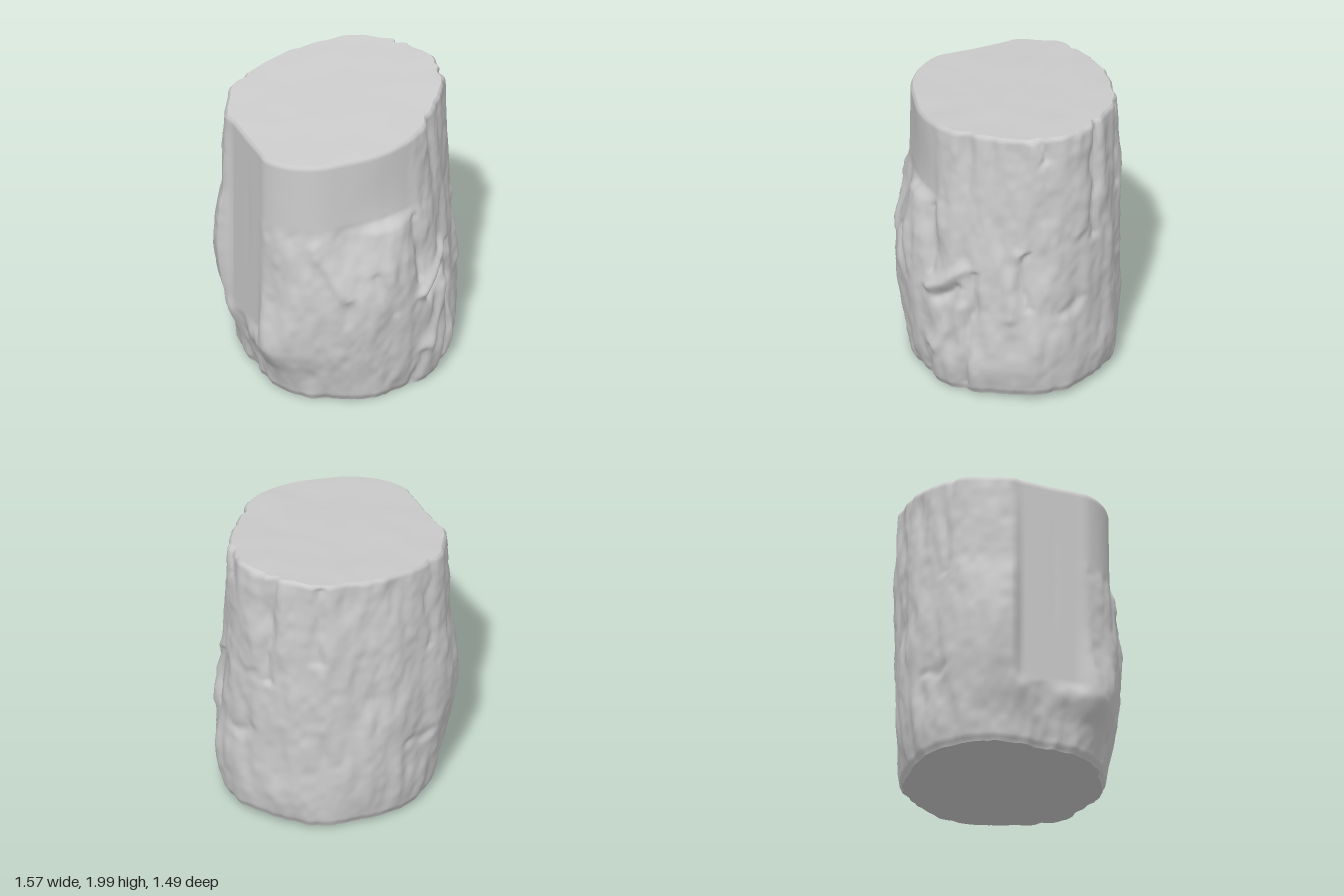
import * as THREE from 'three';

const SEG = 184, ROWS = 140;
const material = new THREE.MeshStandardMaterial({ color: 0xcccccc, roughness: 0.9 });

// Cross-sections: height, then 16 radii every 22.5 degrees from +x towards +z
const sections = [
  [0.0, [.73, .69, .67, .64, .63, .63, .65, .66, .63, .66, .70, .70, .68, .68, .71, .73]],
  [0.2, [.77, .73, .71, .68, .67, .67, .69, .71, .66, .70, .74, .73, .71, .71, .74, .76]],
  [0.42, [.78, .73, .69, .68, .70, .71, .76, .82, .71, .76, .78, .75, .72, .72, .74, .76]],
  [0.85, [.74, .70, .66, .69, .73, .73, .77, .78, .71, .84, .81, .76, .72, .72, .74, .75]],
  [1.33, [.74, .66, .63, .63, .67, .65, .73, .76, .71, .82, .79, .74, .70, .71, .73, .75]],
  [1.42, [.74, .66, .62, .61, .605, .63, .72, .76, .71, .82, .79, .74, .70, .71, .73, .75]],
  [1.95, [.71, .64, .59, .60, .61, .63, .71, .76, .71, .77, .77, .71, .68, .68, .72, .73]],
];

// Bark ridges (+) and cracks (-): start angle, y, end angle, y, width, depth
const strokes = [
  [84, 1.3, 79, 1.1, .09, .02], [69, 1.34, 67, .88, .035, -.03],
  [66, .74, 46, .93, .05, .035], [60, .66, 48, .80, .035, -.03],
  [64, .28, 48, .62, .05, .03], [42, .08, 38, .9, .03, -.03],
  [72, .02, 66, .25, .03, -.025], [98, 1.0, 88, .7, .04, -.02],
  [132, 1.3, 112, .9, .05, .025], [14, 1.08, 20, .6, .05, .025],
  [9, 1.07, 10, .68, .025, -.025], [0, 1.78, 5, 2.0, .025, -.035],
  [327, 2.0, 330, 1.1, .035, -.035], [336, 1.9, 338, 1.2, .05, .02],
  [300, 1.9, 303, 1.3, .03, -.025], [232, 1.95, 236, 1.3, .03, -.02],
  [252, .55, 236, .58, .04, -.015], [347, .6, 340, .68, .04, -.02],
];

const hash = (i, j, k) => {
  const s = Math.sin(i * 127.1 + j * 311.7 + k * 74.7) * 43758.5453;
  return (s - Math.floor(s)) * 2 - 1;
};
const mix = THREE.MathUtils.lerp, smooth = THREE.MathUtils.smoothstep;

// Smooth value noise
function noise(x, y, z) {
  const c = [x, y, z].map(Math.floor);
  const [u, v, w] = [x, y, z].map((p, i) => smooth(p - c[i], 0, 1));
  const edge = (j, k) => mix(hash(c[0], c[1] + j, c[2] + k), hash(c[0] + 1, c[1] + j, c[2] + k), u);
  return mix(mix(edge(0, 0), edge(1, 0), v), mix(edge(0, 1), edge(1, 1), v), w);
}

// Periodic spline through one cross-section
function ringRadius(r, deg) {
  const p = deg / 22.5, i = Math.floor(p), t = p - i;
  const [a, b, c, d] = [-1, 0, 1, 2].map(o => r[(i + o + 16) % 16]);
  return b + 0.5 * t * (c - a + t * (2 * a - 5 * b + 4 * c - d + t * (3 * (b - c) + d - a)));
}

// Smooth blend of the cross-sections over the height
function trunkRadius(deg, y) {
  const last = sections.length - 1;
  let i = 0;
  while (i < last - 1 && y > sections[i + 1][0]) i++;
  const [p, a, b, q] = [i - 1, i, i + 1, i + 2].map(n => {
    const [h, radii] = sections[THREE.MathUtils.clamp(n, 0, last)];
    return [h, ringRadius(radii, deg)];
  });
  const h = b[0] - a[0], t = (y - a[0]) / h;
  const m0 = h * (b[1] - p[1]) / (b[0] - p[0]), m1 = h * (q[1] - a[1]) / (q[0] - a[0]);
  const s = t * t * (3 - 2 * t);
  return mix(a[1], b[1], s) + m0 * t * (1 - t) ** 2 - m1 * t * t * (1 - t);
}

function radius(deg, y) {
  let r = trunkRadius(deg, y);
  const a = deg * Math.PI / 180, cx = Math.cos(a), cz = Math.sin(a);
  // Bare, sawn areas on the left side and upper front carry no bark relief
  const sawnSide = smooth(deg, 158, 165) * (1 - smooth(deg, 196, 200)) * smooth(y, .36, .5);
  const sawnFront = smooth(deg, 62, 76) * (1 - smooth(deg, 196, 200)) * smooth(y, 1.32, 1.45);
  const bark = 1 - 0.95 * Math.max(sawnSide, sawnFront);
  r += bark * (0.022 * noise(cx * 4.5, y * 2.2, cz * 4.5)
    + 0.015 * noise(cx * 10 + 7, y * 5, cz * 10) + 0.005 * noise(cx * 22, y * 14, cz * 22));
  // Strokes wander a little so that none runs straight
  const wx = 0.04 * noise(cx * 6, y * 6, cz * 6 + 9), wy = 0.04 * noise(cx * 6 + 5, y * 6, cz * 6);
  for (const [a0, ya, a1, yb, w, amp] of strokes) {
    const k = 0.0122; // arc length per degree
    const dx = (a1 - a0) * k, dy = yb - ya;
    const px = (((deg - a0 + 540) % 360) - 180) * k + wx, py = y - ya + wy;
    const t = THREE.MathUtils.clamp((px * dx + py * dy) / (dx * dx + dy * dy), 0, 1);
    const d2 = (px - dx * t) ** 2 + (py - dy * t) ** 2;
    r += amp * Math.exp(-d2 / (w * w));
  }
  // Flat saw cut on the left side
  return mix(r, Math.min(r, 0.71 / Math.abs(cx)), sawnSide);
}

const topY = (x, z) => 1.925 + 0.09 * x - 0.04 * z + 0.004 * noise(x * 6, 3, z * 6);
const bottomY = (x, z) => 0.012 + 0.03 * smooth(x, .3, .75) - 0.018 * z;

// Point on the bark at an angle and a fraction of the height
function barkPoint(deg, f) {
  const a = deg * Math.PI / 180;
  const r = radius(deg, f * 1.95) - 0.016 * smooth(f, .985, 1) ** 2 - 0.015 * (1 - smooth(f, 0, .025));
  const x = r * Math.cos(a), z = r * Math.sin(a);
  return [x, mix(bottomY(x, z), topY(x, z), f), z];
}

// Closed surface strip from rows of rings, seam shared for smooth normals
function ringSurface(name, rows, point) {
  const pos = [], index = [];
  for (let j = 0; j <= rows; j++)
    for (let i = 0; i < SEG; i++) pos.push(...point(i * 360 / SEG, j / rows));
  for (let j = 0; j < rows; j++)
    for (let i = 0; i < SEG; i++) {
      const a = j * SEG + i, b = j * SEG + (i + 1) % SEG;
      index.push(a, a + SEG, b, b, a + SEG, b + SEG);
    }
  const geo = new THREE.BufferGeometry();
  geo.setAttribute('position', new THREE.Float32BufferAttribute(pos, 3));
  geo.setIndex(index);
  geo.computeVertexNormals();
  const mesh = new THREE.Mesh(geo, material);
  mesh.name = name;
  return mesh;
}

// Cut face filling the bark's rim
const cap = (rim, heightAt, deg, s) => {
  const [x, y, z] = barkPoint(deg, rim);
  return [x * s, s === 1 ? y : heightAt(x * s, z * s), z * s];
};

export function createModel() {
  const log = new THREE.Group();
  log.name = 'log';
  log.add(
    ringSurface('bark', ROWS, barkPoint),
    ringSurface('topCut', 12, (deg, f) => cap(1, topY, deg, 1 - f)),
    ringSurface('bottomCut', 6, (deg, f) => cap(0, bottomY, deg, f)),
  );
  // Settle on the ground, centred
  const box = new THREE.Box3().setFromObject(log), c = box.getCenter(new THREE.Vector3());
  log.children.forEach(m => m.geometry.translate(-c.x, -box.min.y, -c.z));
  return log;
}
